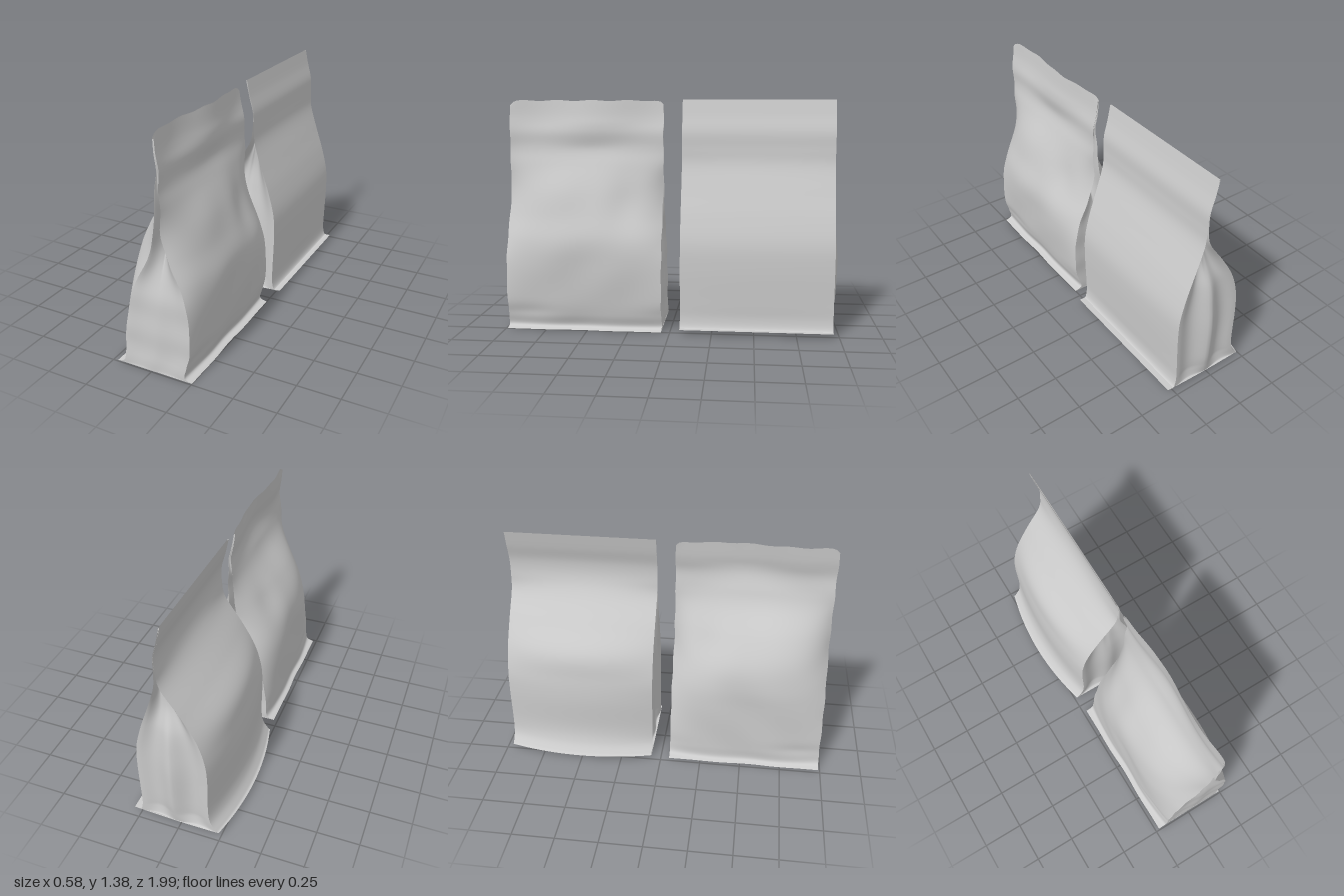
import * as THREE from 'three';

const lerp = THREE.MathUtils.lerp;
const material = new THREE.MeshStandardMaterial({ color: 0xcccccc, side: THREE.DoubleSide });

// Sheet of nu x nv cells from a rule (u, v) -> [x, y, z]
function sheet(name, nu, nv, rule, flip) {
  const positions = [], index = [];
  for (let j = 0; j <= nv; j++)
    for (let i = 0; i <= nu; i++) positions.push(...rule(i / nu, j / nv));
  for (let j = 0; j < nv; j++)
    for (let i = 0; i < nu; i++) {
      const a = j * (nu + 1) + i, b = a + 1, c = a + nu + 1, d = c + 1;
      if (flip) index.push(a, c, b, b, c, d);
      else index.push(a, b, c, b, d, c);
    }
  const geometry = new THREE.BufferGeometry();
  geometry.setAttribute('position', new THREE.Float32BufferAttribute(positions, 3));
  geometry.setIndex(index);
  geometry.computeVertexNormals();
  const mesh = new THREE.Mesh(geometry, material);
  mesh.name = name;
  return mesh;
}

// Smooth profile through values at the given heights
function profile(heights, values) {
  const points = heights.map((y, i) => new THREE.Vector3(values[i], y, 0));
  return new THREE.CatmullRomCurve3(points, false, 'catmullrom', 0.5);
}

const bump = (z, y, cz, cy, rz, ry) => Math.exp(-(((z - cz) / rz) ** 2) - ((y - cy) / ry) ** 2);

function makeBag(name, s) {
  const bag = new THREE.Group();
  bag.name = name;
  const curves = {};
  for (const key of ['leftEnd', 'leftMid', 'rightEnd', 'rightMid', 'frontFold', 'backFold'])
    curves[key] = profile(s.heights, s[key]);

  // Point on a broad panel; u runs from the back edge to the front edge
  const panelPoint = (side, u, v) => {
    const end = curves[side + 'End'].getPoint(v), mid = curves[side + 'Mid'].getPoint(v);
    const swell = 1 - Math.abs(2 * u - 1) ** s.swellPower;
    const z = lerp(s.zBack, s.zFront, u);
    return s.wrinkle([lerp(end.x, mid.x, swell), end.y, z], side, u, v);
  };

  // Broad panels
  bag.add(sheet('leftPanel', 48, 78, (u, v) => panelPoint('left', u, v), true));
  bag.add(sheet('rightPanel', 48, 78, (u, v) => panelPoint('right', u, v), false));

  // Side gussets, tucked in beside the edges and folding inward near the top
  for (const [label, u, dir] of [['front', 1, 1], ['back', 0, -1]]) {
    bag.add(sheet(label + 'Gusset', 24, 78, (t, v) => {
      const a = panelPoint('right', u, v), b = panelPoint('left', u, v);
      const depth = curves[label + 'Fold'].getPoint(v).x;
      const r = 1 - Math.abs(2 * t - 1);
      const tuck = s.tuck * 16 * (r * (1 - r)) ** 2 * Math.min(1, 6 * v, 3 * (1 - v));
      const offset = depth * r ** (depth > 0 ? 1.6 : 1.2) - tuck;
      return [lerp(a[0], b[0], t), lerp(a[1], b[1], t), lerp(a[2], b[2], t) + dir * offset];
    }, dir < 0));
  }

  // Base
  bag.add(sheet('base', 20, 48, (t, u) => {
    const a = panelPoint('right', u, 0), b = panelPoint('left', u, 0);
    return [lerp(a[0], b[0], t), lerp(a[1], b[1], t) + s.baseRise * Math.sin(Math.PI * t), a[2]];
  }, false));
  return bag;
}

export function createModel() {
  const model = new THREE.Group();
  model.name = 'pairOfBags';

  // Rumpled bag in front
  model.add(makeBag('rumpledBag', {
    heights: [0.012, 0.032, 0.1, 0.2, 0.4, 0.55, 0.7, 0.85, 1.0, 1.1, 1.2, 1.3, 1.385],
    leftEnd: [0.25, 0.205, 0.22, 0.24, 0.235, 0.2, 0.135, 0.09, 0.095, 0.088, 0.094, 0.076, 0.066],
    leftMid: [0.25, 0.212, 0.23, 0.245, 0.262, 0.258, 0.215, 0.175, 0.12, 0.09, 0.094, 0.076, 0.066],
    rightEnd: [-0.225, -0.178, -0.167, -0.16, -0.125, -0.075, 0.005, 0.045, 0.06, 0.066, 0.08, 0.066, 0.058],
    rightMid: [-0.225, -0.195, -0.195, -0.196, -0.198, -0.192, -0.16, -0.085, 0.015, 0.055, 0.078, 0.066, 0.058],
    frontFold: [0, 0, 0.002, 0.003, 0, -0.02, -0.07, -0.1, -0.06, -0.02, 0, 0, 0],
    backFold: [0, 0, 0.002, 0.003, 0, -0.02, -0.07, -0.1, -0.06, -0.02, 0, 0, 0],
    zBack: 0.053, zFront: 0.99, swellPower: 4, baseRise: 0.01, tuck: 0.006,
    wrinkle([x, y, z], side, u, v) {
      const out = side === 'left' ? 1 : -1;
      // Dents, swellings and low creases, fading below the seal
      let d = -0.025 * bump(z, y, 0.27, 0.78, 0.11, 0.14);
      d += 0.012 * bump(z, y, 0.55, 0.72, 0.2, 0.2);
      d -= 0.006 * bump(z, y, 0.85, 0.12, 0.15, 0.04);
      d += 0.004 * Math.sin(z * 14 + y * 9) * Math.sin(y * 8 - z * 3) * Math.sin(Math.PI * u);
      const wave = 0.012 * Math.sin(z * 9 + y * 3) * Math.min(1, Math.max(0, (y - 1.1) / 0.15));
      const edge = 0.002 * Math.sin(y * 31) * (2 * u - 1) ** 15;
      // Rounded top corners and an uneven top rim
      const corner = 0.025 * Math.abs(2 * u - 1) ** 24 * v ** 30;
      const rim = 0.003 * Math.sin(z * 29) * v ** 20;
      return [x + out * d * Math.min(1, Math.max(0, (1.15 - y) / 0.2)) + wave, y + rim - corner, z + edge];
    },
  }));

  // Smooth bag behind
  model.add(makeBag('smoothBag', {
    heights: [0.03, 0.042, 0.1, 0.2, 0.4, 0.55, 0.7, 0.85, 1.0, 1.1, 1.2, 1.3, 1.392],
    leftEnd: [0.29, 0.25, 0.235, 0.236, 0.242, 0.236, 0.2, 0.15, 0.104, 0.096, 0.093, 0.068, 0.048],
    leftMid: [0.29, 0.25, 0.236, 0.24, 0.248, 0.242, 0.206, 0.157, 0.108, 0.097, 0.093, 0.068, 0.048],
    rightEnd: [-0.235, -0.22, -0.185, -0.174, -0.176, -0.165, -0.12, -0.035, 0.065, 0.086, 0.087, 0.062, 0.042],
    rightMid: [-0.294, -0.275, -0.24, -0.222, -0.225, -0.213, -0.185, -0.075, 0.035, 0.08, 0.087, 0.062, 0.042],
    frontFold: [0, -0.01, -0.015, -0.015, -0.015, -0.03, -0.06, -0.08, -0.05, -0.01, 0, 0, 0],
    backFold: [0, 0.004, 0.015, 0.028, 0.035, 0.025, 0.003, -0.05, -0.05, -0.01, 0, 0, 0],
    zBack: -0.965, zFront: -0.06, swellPower: 2, baseRise: -0.007, tuck: 0.028,
    // Left lip of the base turns up slightly
    wrinkle: ([x, y, z], side, u, v) => [x, y + (side === 'left' ? 0.013 * Math.max(0, 1 - v * 12) : 0), z],
  }));

  return model;
}
